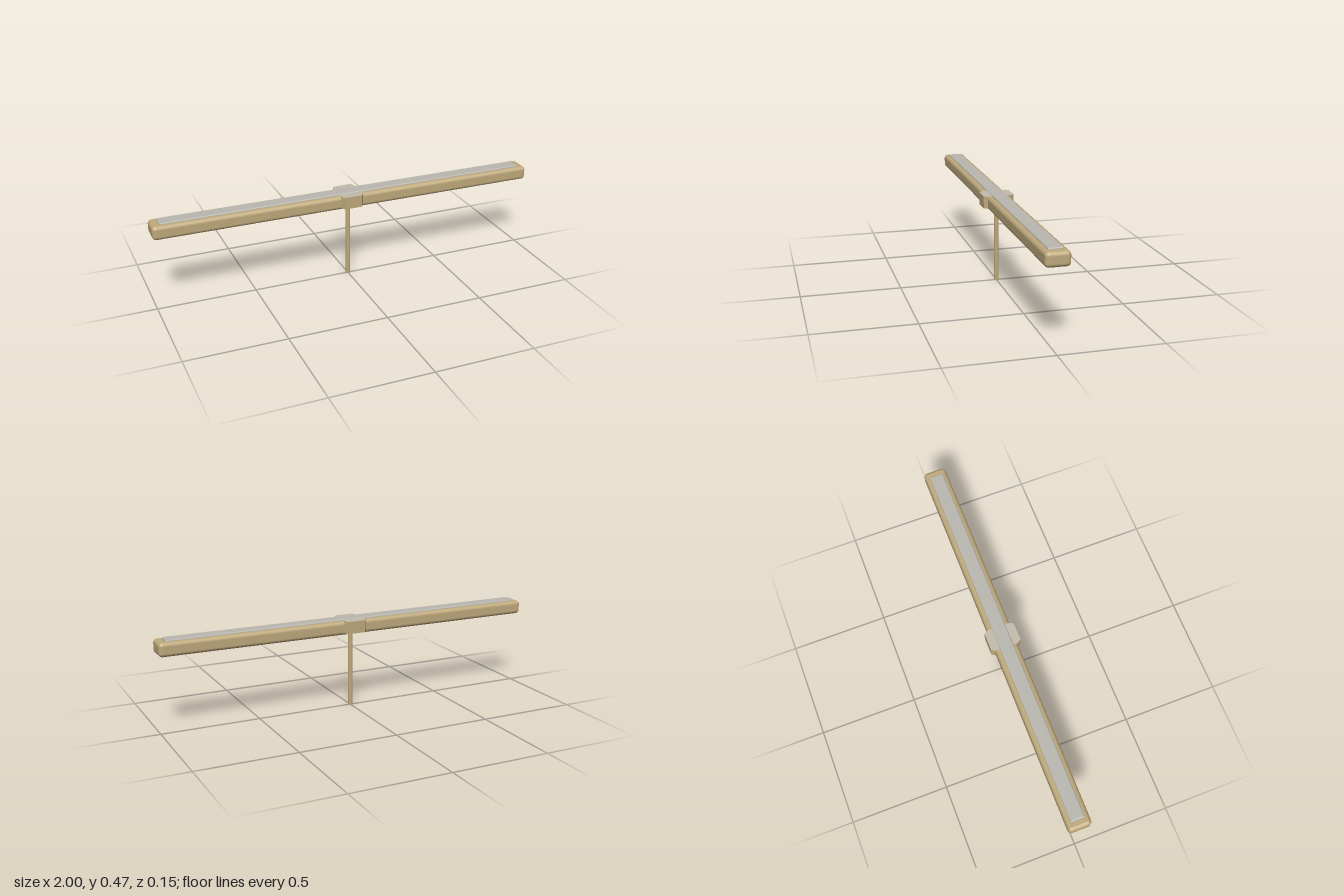
import * as THREE from 'three';
import { RoundedBoxGeometry } from 'three/addons/geometries/RoundedBoxGeometry.js';

export function createModel() {
  const group = new THREE.Group();
  const tan = new THREE.MeshStandardMaterial({ name: 'tan', color: 0xbfa97c });
  const grey = new THREE.MeshStandardMaterial({ name: 'grey', color: 0xb9b7b0 });
  const paleTan = new THREE.MeshStandardMaterial({ name: 'paleGrey', color: 0xc2bcaa });

  const add = (name, geometry, material, y) => {
    const mesh = new THREE.Mesh(geometry, material);
    mesh.name = name;
    mesh.position.y = y;
    group.add(mesh);
    return mesh;
  };

  // Long bar with rounded edges
  add('bar', new RoundedBoxGeometry(2, 0.07, 0.116, 5, 0.019), tan, 0.424);

  // Raised strip along the top
  add('topStrip', new RoundedBoxGeometry(1.92, 0.016, 0.07, 3, 0.006), grey, 0.458);

  // Round stem below the bar
  add('stem', new THREE.CylinderGeometry(0.012, 0.012, 0.4, 32), tan, 0.2);

  // Tapered lugs on the front and back of the bar
  const lugShape = new THREE.Shape([
    new THREE.Vector2(-0.057, 0.03),
    new THREE.Vector2(0.057, 0.03),
    new THREE.Vector2(0.057, 0.058),
    new THREE.Vector2(0.045, 0.077),
    new THREE.Vector2(-0.045, 0.077),
    new THREE.Vector2(-0.057, 0.058),
  ]);
  const lugGeometry = new THREE.ExtrudeGeometry(lugShape, { depth: 0.061, bevelEnabled: false });
  const capGeometry = new THREE.ExtrudeGeometry(lugShape, { depth: 0.002, bevelEnabled: false });
  for (const [side, turn] of [['back', 0], ['front', Math.PI]]) {
    const lug = new THREE.Group();
    lug.name = side + 'Lug';
    const body = new THREE.Mesh(lugGeometry, tan);
    body.name = side + 'LugBody';
    const cap = new THREE.Mesh(capGeometry, paleTan);
    cap.name = side + 'LugCap';
    cap.position.y = 0.061;
    body.rotation.x = cap.rotation.x = -Math.PI / 2;
    lug.add(body, cap);
    lug.position.y = 0.398;
    lug.rotation.y = turn;
    group.add(lug);
  }
  return group;
}
